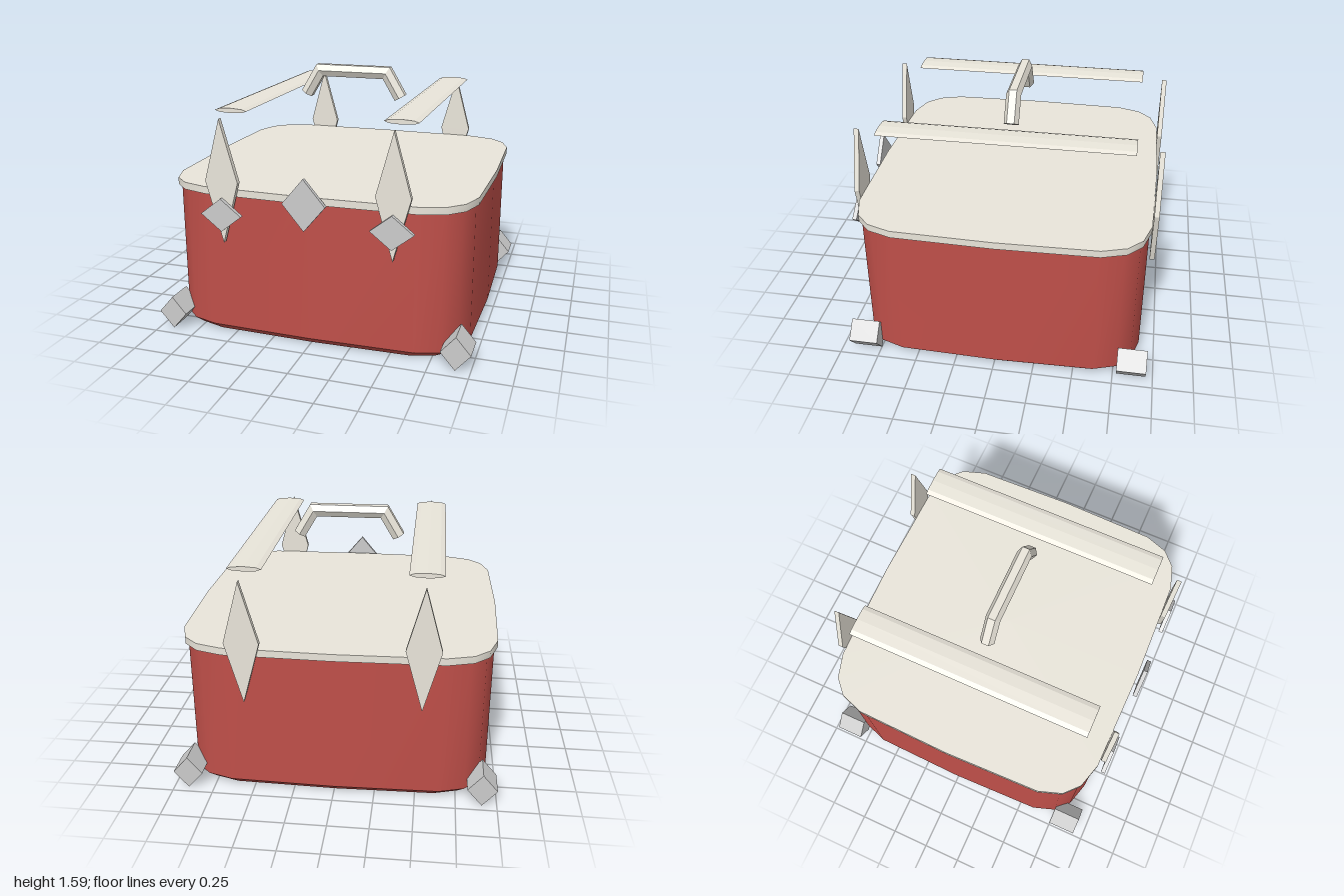
import * as THREE from 'three';
import { toCreasedNormals } from 'three/addons/utils/BufferGeometryUtils.js';

const RED = 0xbf4f49, CREAM = 0xe9e5da, GREY = 0xcccccc;
const CZ = -0.012; // depth centre of the box

// Closed solid from a stack of equal-length point rings
function loft(rings) {
  const n = rings[0].length, pos = [], idx = [];
  const push = (p) => { pos.push(p.x, p.y, p.z); return pos.length / 3 - 1; };
  rings.forEach((ring) => ring.forEach(push));
  for (let r = 0; r < rings.length - 1; r++) {
    for (let i = 0; i < n; i++) {
      const a = r * n + i, b = r * n + (i + 1) % n;
      idx.push(a, a + n, b, b, a + n, b + n);
    }
  }
  const last = (rings.length - 1) * n;
  const mid = (ring) => ring.reduce((s, p) => s.add(p), new THREE.Vector3()).divideScalar(n);
  const c0 = push(mid(rings[0])), c1 = push(mid(rings[rings.length - 1]));
  for (let i = 0; i < n; i++) {
    const j = (i + 1) % n;
    idx.push(c0, i, j, c1, last + j, last + i);
  }
  const g = new THREE.BufferGeometry();
  g.setAttribute('position', new THREE.Float32BufferAttribute(pos, 3));
  g.setIndex(idx);
  g.computeVertexNormals();
  return g;
}

// Rounded-square outline with 20 corners
function outline(a, b, y) {
  const root = (v) => Math.abs(v) < 1e-9 ? 0 : Math.sign(v) * Math.cbrt(Math.abs(v));
  return Array.from({ length: 20 }, (_, i) => {
    const t = i * Math.PI / 10;
    return new THREE.Vector3(a * root(Math.cos(t)), y, b * root(Math.sin(t)));
  });
}

// Flat-sided prism along z with half width hx and half height hy
function prism(hx, hy, depth, sides = 4) {
  return new THREE.CylinderGeometry(1, 1, depth, sides).rotateX(Math.PI / 2).scale(hx, hy, 1);
}

export function createModel() {
  const model = new THREE.Group();
  const add = (name, geometry, color, x = 0, y = 0, z = CZ, flat = true) => {
    const mesh = new THREE.Mesh(geometry, new THREE.MeshStandardMaterial({ color, flatShading: flat }));
    mesh.name = name;
    mesh.position.set(x, y, z);
    model.add(mesh);
  };

  // Box body with a chamfered base, and its overhanging lid
  const body = loft([outline(0.91, 0.86, 0), outline(0.957, 0.905, 0.045), outline(0.957, 0.905, 0.93)]);
  add('body', toCreasedNormals(body, 0.6), RED, 0, 0, CZ, false);
  const lid = loft([outline(0.976, 0.92, 0.912), outline(0.976, 0.92, 0.957)]);
  add('lid', toCreasedNormals(lid, 0.6), CREAM, 0, 0, CZ, false);

  // Bent handle: hexagonal section swept along a mitred path
  const path = [[-0.324, 1.394, -0.861, 0.509], [-0.23, 1.553, -0.571, 1],
    [0.23, 1.553, 0.571, 1], [0.324, 1.394, 0.861, 0.509]];
  const handle = loft(path.map(([x, y, nx, ny]) => Array.from({ length: 6 }, (_, k) => {
    const t = Math.PI / 6 + k * Math.PI / 3, c = 0.045 * Math.cos(t);
    return new THREE.Vector3(x + nx * c, y + ny * c, -0.047 * Math.sin(t));
  })));
  add('handle', handle, CREAM);

  for (const s of [-1, 1]) {
    const side = s > 0 ? 'left' : 'right';
    // Raised slats and the diamond uprights at their ends
    add(side + 'Slat', prism(0.103, 0.015, 1.556, 8), CREAM, s * 0.527, 1.406);
    for (const f of [-1, 1]) {
      const end = f > 0 ? 'Front' : 'Back';
      add(side + end + 'Upright', prism(0.105, 0.382, 0.031), CREAM, s * 0.527, 1.007, CZ + f * 0.925);
      // Diamond-section feet
      add(side + end + 'Foot', prism(0.091, 0.106, 0.182), GREY, s * 0.909, 0.106, CZ + f * 0.852);
    }
    // Latch plates on the front uprights
    add(side + 'LatchPlate', prism(0.13, 0.103, 0.027), GREY, s * 0.527, 0.807, 0.942);
  }
  // Central clasp
  add('clasp', prism(0.133, 0.159, 0.027), GREY, 0, 0.919, 0.942);

  return model;
}
